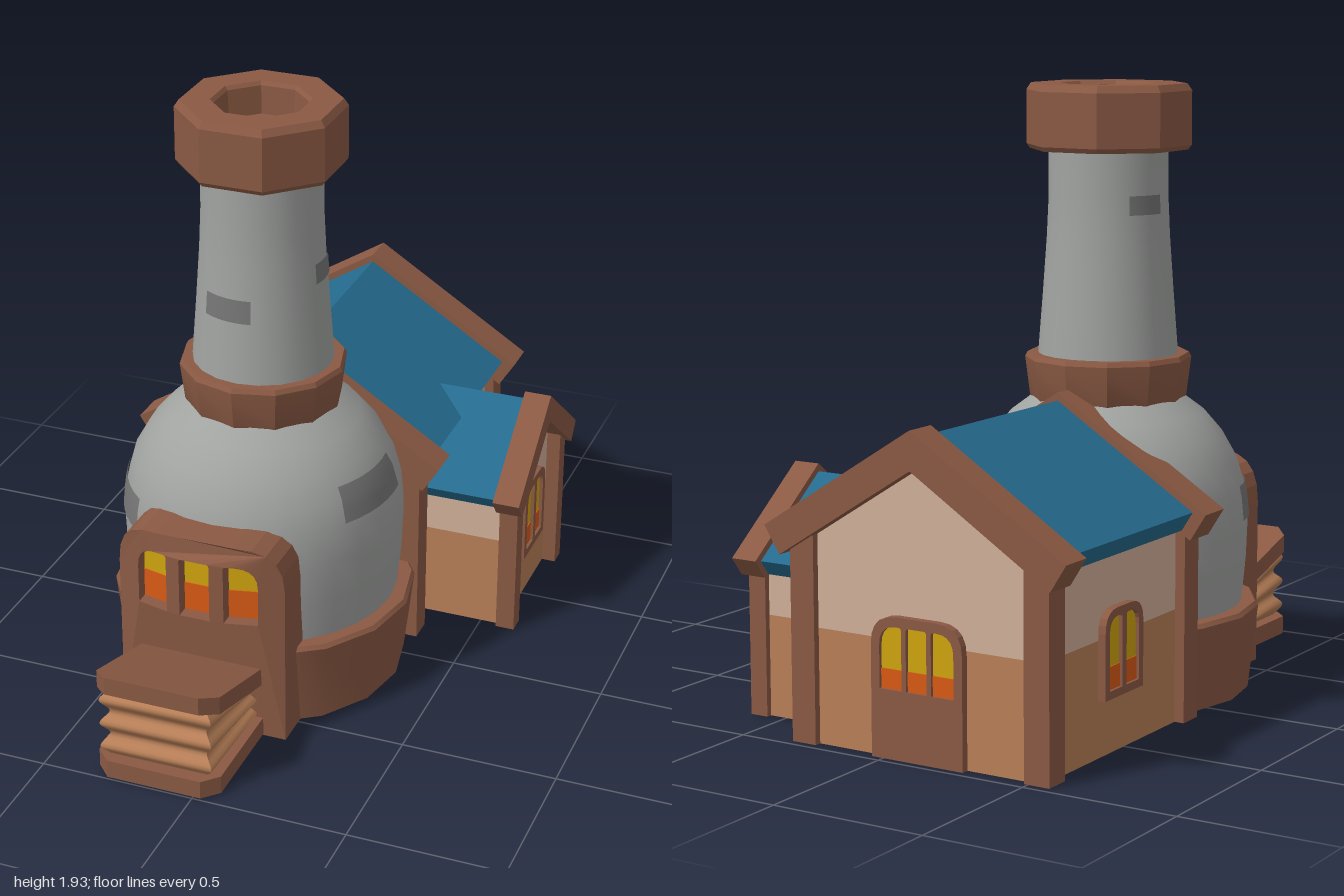
import * as THREE from 'three';
import { toCreasedNormals } from 'three/addons/utils/BufferGeometryUtils.js';

function mat(name, color, side = THREE.FrontSide) {
  const m = new THREE.MeshStandardMaterial({ color, side });
  m.name = name;
  return m;
}

export function createModel() {
  const root = new THREE.Group();
  const wood = mat('brown wood', 0x8b5a44);
  const stone = mat('grey stone', 0xa1a3a1, THREE.DoubleSide);
  const darkStone = mat('dark stone', 0x757675, THREE.DoubleSide);
  const roofBlue = mat('blue roof', 0x256b8f);
  const plaster = mat('light plaster', 0xd2b09a);
  const tan = mat('tan', 0xb98058);
  const yellow = mat('yellow glass', 0xd0a50e);
  const orange = mat('orange glass', 0xd95a14);

  function add(name, geo, material, parent = root) {
    const m = new THREE.Mesh(geo, material);
    m.name = name;
    parent.add(m);
    return m;
  }
  function warp(geo, rule) {
    const p = geo.attributes.position, v = new THREE.Vector3();
    for (let i = 0; i < p.count; i++) {
      v.fromBufferAttribute(p, i);
      rule(v);
      p.setXYZ(i, v.x, v.y, v.z);
    }
    geo.computeVertexNormals();
    return geo;
  }
  const poly = pts => new THREE.Shape(pts.map(p => new THREE.Vector2(p[0], p[1])));
  const extrude = (shape, depth, z = 0) =>
    new THREE.ExtrudeGeometry(shape, { depth, bevelEnabled: false, curveSegments: 5 }).translate(0, 0, z);
  const lathe = (pts, seg, start = 0, len = Math.PI * 2) =>
    new THREE.LatheGeometry(pts.map(p => new THREE.Vector2(p[0], p[1])), seg, start, len);

  // ---------- Furnace ----------
  const furnace = new THREE.Group();
  furnace.name = 'furnace';
  furnace.position.set(-0.115, 0, 0.12);
  root.add(furnace);

  const bodyPts = [[0.425, 0.2], [0.432, 0.28], [0.445, 0.42], [0.45, 0.55], [0.44, 0.65],
    [0.415, 0.74], [0.37, 0.82], [0.31, 0.89], [0.23, 0.95]];
  const chimneyPts = [[0.228, 1.02], [0.222, 1.1], [0.208, 1.28], [0.196, 1.45], [0.19, 1.58], [0.19, 1.76]];
  add('furnaceBody', lathe(bodyPts, 28), stone, furnace);
  add('chimney', lathe(chimneyPts, 20), stone, furnace);
  add('baseBand', toCreasedNormals(lathe([[0.42, 0], [0.457, 0], [0.488, 0.27], [0.478, 0.283],
    [0.42, 0.283], [0.42, 0]], 16), 0.5), wood, furnace);
  add('neckRing', toCreasedNormals(lathe([[0.2, 0.93], [0.243, 0.93], [0.25, 0.945], [0.265, 1.065],
    [0.257, 1.08], [0.2, 1.08]], 12), 0.4), wood, furnace);
  add('chimneyCap', toCreasedNormals(lathe([[0.17, 1.725], [0.252, 1.725], [0.263, 1.74], [0.263, 1.91],
    [0.248, 1.932], [0.155, 1.932], [0.145, 1.92], [0.14, 1.83], [0, 1.83]], 8, Math.PI / 8), 0.3), wood, furnace);

  // Darker stones follow the curved wall beneath them
  function radiusAt(pts, y) {
    let i = 1;
    while (i < pts.length - 1 && pts[i][1] < y) i++;
    const [a, b] = [pts[i - 1], pts[i]];
    return a[0] + (b[0] - a[0]) * (y - a[1]) / (b[1] - a[1]);
  }
  for (const [pts, a0, a1, y0, y1] of [
    [chimneyPts, -33, 12, 1.28, 1.355], [chimneyPts, 75, 106, 1.375, 1.44], [chimneyPts, 230, 266, 1.53, 1.59],
    [bodyPts, -78, -41, 0.56, 0.67], [bodyPts, 57, 97, 0.67, 0.78]]) {
    const rows = [0, 1, 2, 3].map(i => y0 + (y1 - y0) * i / 3).map(y => [radiusAt(pts, y) + 0.005, y]);
    const rad = Math.PI / 180;
    add('darkStonePatch', lathe(rows, 6, a0 * rad, (a1 - a0) * rad), darkStone, furnace);
  }

  // ---------- Framed windows ----------
  function tomb(x0, x1, y0, y1, rl, rr) {
    const s = new THREE.Shape();
    s.moveTo(x0, y0);
    s.lineTo(x1, y0);
    s.lineTo(x1, y1 - rr);
    if (rr) s.quadraticCurveTo(x1, y1, x1 - rr, y1);
    s.lineTo(x0 + rl, y1);
    if (rl) s.quadraticCurveTo(x0, y1, x0, y1 - rl);
    s.closePath();
    return s;
  }
  function framedWindow(name, outline, panes, split, depth, glassZ, bend = 0) {
    const g = new THREE.Group();
    g.name = name;
    const curve = geo => bend ? warp(geo, v => { v.z -= bend * v.x * v.x; }) : geo;
    outline.holes = panes.map(p => tomb(...p));
    add('frame', curve(extrude(outline, depth)), wood, g);
    for (const p of panes) {
      add('upperGlass', curve(extrude(tomb(...p), 0.004, glassZ)), yellow, g);
      add('lowerGlass', curve(extrude(tomb(p[0], p[1], p[2], split, 0, 0), 0.004, glassZ + 0.003)), orange, g);
    }
    root.add(g);
    return g;
  }

  // Furnace mouth with three curved panes
  framedWindow('furnaceFront', tomb(-0.277, 0.277, 0, 0.69, 0.15, 0.15), [
    [-0.2, -0.095, 0.42, 0.62, 0.07, 0.01], [-0.05, 0.05, 0.42, 0.62, 0.01, 0.01],
    [0.095, 0.2, 0.42, 0.62, 0.01, 0.07]], 0.515, 0.18, 0.13, 0.8).position.set(-0.127, 0, 0.49);

  // ---------- Bellows ----------
  const bellows = new THREE.Group();
  bellows.name = 'bellows';
  bellows.position.x = -0.127;
  root.add(bellows);
  const board = poly([[-0.203, 0.6], [0.203, 0.6], [0.203, 0.95], [0.155, 1], [-0.155, 1], [-0.203, 0.95]]);
  const boardGeo = () => extrude(board, 0.06).rotateX(Math.PI / 2);
  add('lowerBoard', boardGeo().translate(0, 0.067, 0), wood, bellows);
  add('upperBoard', warp(boardGeo(), v => { v.y += 0.262 + (v.z - 0.645) * 0.3; }), wood, bellows);
  const pleats = warp(new THREE.BoxGeometry(0.37, 1, 0.36, 2, 24, 2), v => {
    const t = v.y + 0.5;
    const pinch = 0.025 * (0.5 + 0.5 * Math.cos(t * Math.PI * 6));
    v.x -= Math.sign(v.x) * pinch;
    v.z += 0.8 - (v.z > 0.1 ? pinch : 0);
    v.y = 0.06 + t * (0.15 + (v.z - 0.645) * 0.3);
  });
  add('pleats', toCreasedNormals(pleats, 0.8), tan, bellows);

  // ---------- House ----------
  // Bent strip with square-cut eaves, for roofs and gable trim
  function chevron(half, apex, slope, t) {
    const len = Math.hypot(1, slope), y = apex - slope * half;
    const ix = half - t * slope / len, iy = y - t / len;
    return poly([[-half, y], [-ix, iy], [0, apex - t * len], [ix, iy], [half, y], [0, apex]]);
  }
  // Each block runs along its own z, with the gable facing +z
  function block(name, o) {
    const g = new THREE.Group();
    g.name = name;
    root.add(g);
    const { half: h, back, front, split, slope, wallApex } = o;
    const ring = poly([[-h, back], [h, back], [h, front], [-h, front]]);
    const i = h - 0.02;
    ring.holes.push(poly([[-i, back + 0.02], [i, back + 0.02], [i, front - 0.02], [-i, front - 0.02]]));
    add('lowerWalls', extrude(ring, split).rotateX(Math.PI / 2).translate(0, split, 0), tan, g);
    const top = wallApex - slope * h;
    add('upperWalls', extrude(poly([[-h, split], [h, split], [h, top], [0, wallApex], [-h, top]]),
      front - back, back), plaster, g);
    add('roof', extrude(chevron(...o.roof), o.roofZ[1] - o.roofZ[0], o.roofZ[0]), roofBlue, g);
    for (const [z0, z1] of o.trimZ) add('gableTrim', extrude(chevron(...o.trim), z1 - z0, z0), wood, g);
    for (const z of o.postZ) for (const s of [-1, 1]) {
      add('cornerPost', new THREE.BoxGeometry(o.post, o.postH, o.post)
        .translate(s * o.postX, o.postH / 2, z), wood, g);
    }
    return g;
  }
  block('mainHouse', {
    half: 0.42, back: -0.95, front: -0.13, split: 0.355, slope: 0.63, wallApex: 0.9,
    roof: [0.48, 0.965, 0.63, 0.07], roofZ: [-0.92, -0.16],
    trim: [0.525, 0.99, 0.63, 0.1], trimZ: [[-1, -0.89], [-0.195, -0.08]],
    post: 0.085, postH: 0.65, postX: 0.41, postZ: [-0.93, -0.15],
  }).position.x = -0.12;
  const wing = block('sideWing', {
    half: 0.25, back: 0.25, front: 0.575, split: 0.32, slope: 0.77, wallApex: 0.67,
    roof: [0.3, 0.73, 0.77, 0.06], roofZ: [0.22, 0.57],
    trim: [0.327, 0.755, 0.77, 0.075], trimZ: [[0.55, 0.64]],
    post: 0.062, postH: 0.5, postX: 0.238, postZ: [0.59],
  });
  wing.rotation.y = Math.PI / 2;
  wing.position.z = -0.535;

  // Twin-pane windows on the wing gable and the opposite side wall
  for (const [x, turn] of [[0.57, 1], [-0.535, -1]]) {
    const w = framedWindow('sideWindow', tomb(-0.11, 0.11, 0.175, 0.445, 0.07, 0.07), [
      [-0.085, -0.012, 0.2, 0.42, 0.05, 0.01], [0.012, 0.085, 0.2, 0.42, 0.01, 0.05]], 0.27, 0.03, 0.014);
    w.rotation.y = turn * Math.PI / 2;
    w.position.set(x, 0, -0.54);
  }

  // Back door with three panes
  const door = framedWindow('backDoor', tomb(-0.16, 0.16, 0, 0.43, 0.09, 0.09), [
    [-0.13, -0.052, 0.21, 0.4, 0.06, 0.01], [-0.036, 0.036, 0.21, 0.4, 0.01, 0.01],
    [0.052, 0.13, 0.21, 0.4, 0.01, 0.06]], 0.27, 0.03, 0.014);
  door.rotation.y = Math.PI;
  door.position.set(-0.12, 0, -0.945);

  return root;
}
